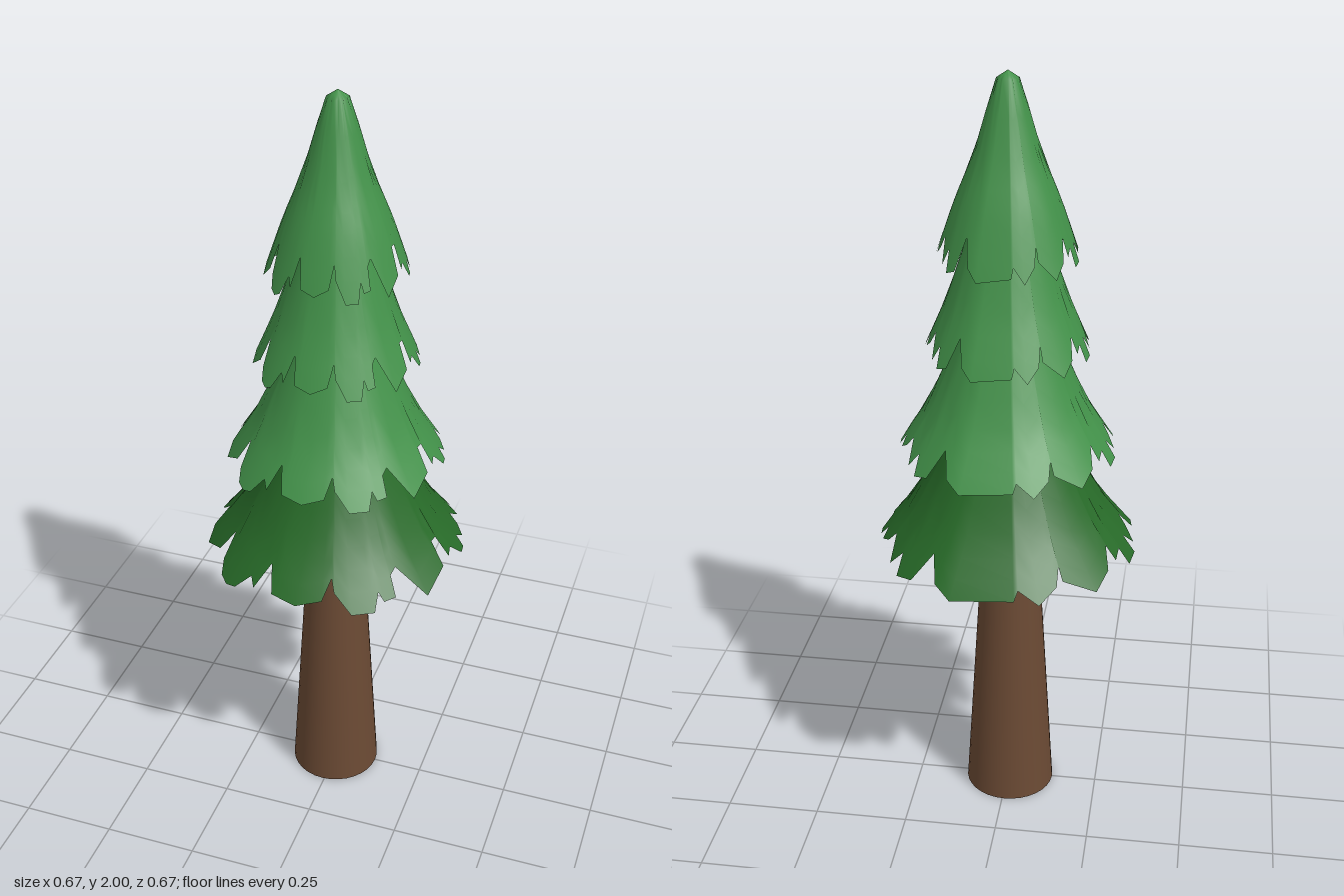
import * as THREE from 'three';

// Ragged skirt outline seen from above: x, z pairs in hundredths of a unit
const RIM = [
  -6.2, -33.7, 10, -33.7, 14.2, -30, 15.3, -24.4, 20.9, -27, 25.2, -24, 24.3, -19.7, 27.8, -19.5,
  27.4, -12.3, 29.7, -11.8, 31.9, -8.9, 31, -5.8, 33.2, -5.1, 33.5, -2.2, 31, 0.7, 31.5, 3.6,
  27.6, 2.7, 27.2, 5.4, 31.2, 7.6, 29.9, 17.2, 21.4, 18.3, 20.9, 20.4, 23.2, 23.1, 20.9, 25.5,
  19.1, 24.8, 19.4, 28.4, 14.2, 31.3, 9, 29.5, 7.7, 27.5, 6.4, 31.6, 0, 33.5, -6.8, 32,
  -8.4, 26.9, -12.2, 30.6, -13.5, 28.4, -17.8, 29.5, -20.7, 28.2, -22.9, 25.7, -23.6, 22.2, -22, 17.2,
  -26, 18.8, -31.6, 13.6, -32.3, 7.2, -29, 4.5, -31, 2.5, -33.3, -0.9, -30.7, -3.3, -33.9, -4.3,
  -33, -10.1, -30.1, -8.5, -29.7, -13.2, -26.9, -12.3, -28.1, -17.4, -25.8, -24, -17.5, -26.8, -16.2, -24.8,
  -16.2, -28.4, -12.4, -32.9, -7, -31.8,
];
const RINGS = [0, 0.08, 0.16, 0.3, 0.45, 0.6, 0.7, 0.8, 0.9, 1];

// Height on a falling profile of [radius, y] points, extended past the last one
function heightAt(profile, r) {
  let i = 1;
  while (i < profile.length - 1 && r > profile[i][0]) i++;
  const [r0, y0] = profile[i - 1], [r1, y1] = profile[i];
  return y0 + (y1 - y0) * (r - r0) / (r1 - r0);
}

// Open, flared shell of needles that ends at the ragged outline
function skirtGeometry(scale, profile) {
  const count = RIM.length / 2;
  const positions = [], index = [];
  RINGS.forEach((t, k) => {
    for (let i = 0; i < count; i++) {
      const x = RIM[2 * i] * 0.01 * scale * t;
      const z = RIM[2 * i + 1] * 0.01 * scale * t;
      positions.push(x, heightAt(profile, Math.hypot(x, z)), z);
      if (k === 0) continue;
      const j = (i + 1) % count;
      const a = (k - 1) * count + i, b = (k - 1) * count + j;
      const c = k * count + i, d = k * count + j;
      if (k > 1) index.push(a, b, c);
      index.push(b, d, c);
    }
  });
  const geometry = new THREE.BufferGeometry();
  geometry.setAttribute('position', new THREE.Float32BufferAttribute(positions, 3));
  geometry.setIndex(index);
  geometry.computeVertexNormals();
  return geometry;
}

export function createModel() {
  const tree = new THREE.Group();
  tree.name = 'pineTree';

  const bark = new THREE.MeshStandardMaterial({ name: 'barkBrown', color: 0x6b4a34 });
  const dark = new THREE.MeshStandardMaterial({ name: 'darkGreen', color: 0x276a28, side: THREE.DoubleSide });
  const light = new THREE.MeshStandardMaterial({ name: 'lightGreen', color: 0x429149, side: THREE.DoubleSide });

  // Tapered trunk, its top hidden in the foliage
  const trunk = new THREE.Mesh(new THREE.CylinderGeometry(0.06, 0.121, 1, 32), bark);
  trunk.name = 'trunk';
  trunk.position.set(-0.006, 0.5, 0);
  tree.add(trunk);

  // Four tiers of branches, each tucked under the next
  const tiers = [
    ['lowestBranches', 1, dark, [[0, 1.42], [0.04, 1.39], [0.09, 1.24], [0.15, 1.09], [0.19, 1], [0.25, 0.89], [0.335, 0.785]]],
    ['lowerBranches', 0.825, light, [[0, 1.66], [0.03, 1.63], [0.08, 1.46], [0.14, 1.31], [0.2, 1.17], [0.28, 1.045]]],
    ['upperBranches', 0.615, light, [[0, 1.83], [0.025, 1.81], [0.06, 1.71], [0.11, 1.57], [0.15, 1.45], [0.207, 1.32]]],
    ['topBranches', 0.52, light, [[0, 2], [0.03, 1.98], [0.08, 1.81], [0.13, 1.69], [0.175, 1.56]]],
  ];
  for (const [name, scale, material, profile] of tiers) {
    const skirt = new THREE.Mesh(skirtGeometry(scale, profile), material);
    skirt.name = name;
    tree.add(skirt);
  }
  return tree;
}
